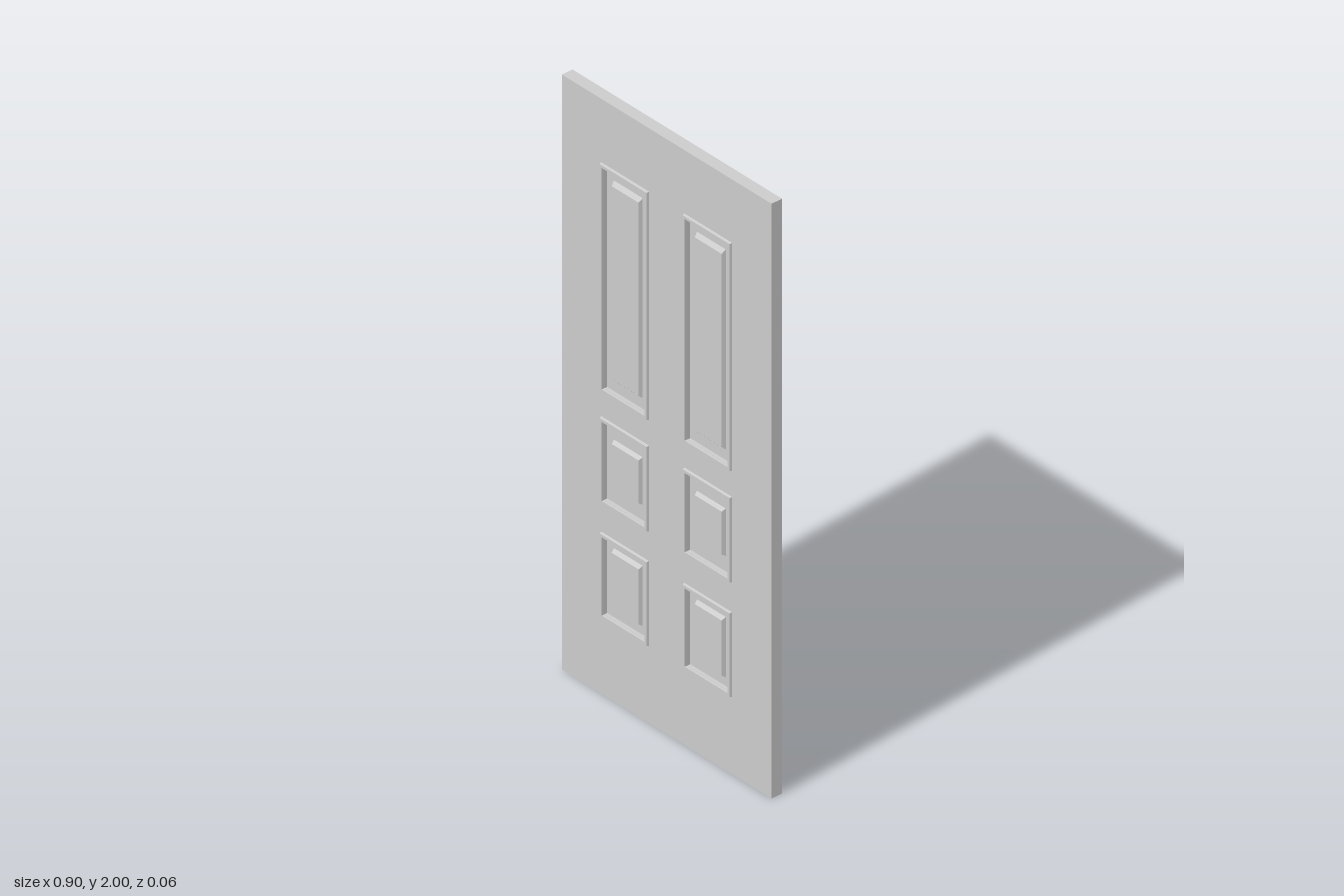
import * as THREE from 'three';

const SLAB = 0.02;      // half thickness of the slab
const FLOOR = 0.008;    // half thickness of the recessed floors
const MOULD = 0.028;    // outer face of the moulding
const material = new THREE.MeshStandardMaterial({ color: 0xcccccc, flatShading: true });

// Panel rows: bottom, top, inset of the raised field, slope of its top and bottom edges
const ROWS = [
  { y0: 1.02, y1: 1.787, inset: 0.047, slope: 0.012 },
  { y0: 0.645, y1: 0.933, inset: 0.064, slope: 0.008 },
  { y0: 0.26, y1: 0.545, inset: 0.041, slope: 0.009 },
];
const X0 = 0.075, X1 = 0.28, RIM = 0.012;

function trace(path, x0, y0, x1, y1) {
  path.moveTo(x0, y0);
  path.lineTo(x1, y0);
  path.lineTo(x1, y1);
  path.lineTo(x0, y1);
  path.closePath();
  return path;
}

function mesh(name, geometry) {
  const m = new THREE.Mesh(geometry, material);
  m.name = name;
  return m;
}

// Box whose front face is narrowed by dx and dy on each side
function taperedBox(w, h, d, dx, dy) {
  const g = new THREE.BoxGeometry(w, h, d);
  const p = g.attributes.position;
  for (let i = 0; i < p.count; i++) {
    if (p.getZ(i) > 0) {
      p.setX(i, p.getX(i) - Math.sign(p.getX(i)) * dx);
      p.setY(i, p.getY(i) - Math.sign(p.getY(i)) * dy);
    }
  }
  g.computeVertexNormals();
  return g;
}

// Rectangular ring swept from (inset, z) profile points
function moulding(w, h, profile) {
  const pos = [], index = [];
  for (const [inset, z] of profile) {
    const a = w / 2 - inset, b = h / 2 - inset;
    pos.push(-a, -b, z, a, -b, z, a, b, z, -a, b, z);
  }
  for (let i = 0; i < profile.length - 1; i++) {
    for (let k = 0; k < 4; k++) {
      const a = i * 4 + k, b = i * 4 + (k + 1) % 4;
      index.push(a, b, b + 4, a, b + 4, a + 4);
    }
  }
  const g = new THREE.BufferGeometry();
  g.setAttribute('position', new THREE.Float32BufferAttribute(pos, 3));
  g.setIndex(index);
  const flat = g.toNonIndexed();
  flat.computeVertexNormals();
  return flat;
}

export function createModel() {
  const door = new THREE.Group();
  door.name = 'panelDoor';

  // Slab with an opening for each panel
  const outline = trace(new THREE.Shape(), -0.448, 0, 0.448, 2);
  for (const { y0, y1 } of ROWS) {
    for (const s of [-1, 1]) {
      const c = s * (X0 + X1) / 2, a = (X1 - X0) / 2 - RIM;
      outline.holes.push(trace(new THREE.Path(), c - a, y0 + RIM, c + a, y1 - RIM));
    }
  }
  const slab = new THREE.ExtrudeGeometry(outline, { depth: 2 * SLAB, bevelEnabled: false });
  slab.translate(0, 0, -SLAB);
  door.add(mesh('slab', slab));

  // Panels: floor, then moulding and raised field on both faces
  const w = X1 - X0;
  for (const { y0, y1, inset, slope } of ROWS) {
    const h = y1 - y0;
    for (const s of [-1, 1]) {
      const panel = new THREE.Group();
      panel.name = 'panel';
      panel.position.set(s * (X0 + X1) / 2, (y0 + y1) / 2, 0);
      panel.add(mesh('panelFloor', new THREE.BoxGeometry(w - 2 * RIM, h - 2 * RIM, 2 * FLOOR)));
      for (const turn of [0, Math.PI]) {
        const face = new THREE.Group();
        face.name = turn ? 'backFace' : 'frontFace';
        face.rotation.y = turn;
        face.add(mesh('moulding', moulding(w, h,
          [[0, SLAB], [0.002, MOULD], [RIM - 0.001, MOULD], [RIM, FLOOR]])));
        const field = mesh('raisedField',
          taperedBox(w - 0.082, h - 2 * inset, SLAB - FLOOR, 0.004, slope));
        field.position.z = (SLAB + FLOOR) / 2;
        face.add(field);
        panel.add(face);
      }
      door.add(panel);
    }
  }
  return door;
}
